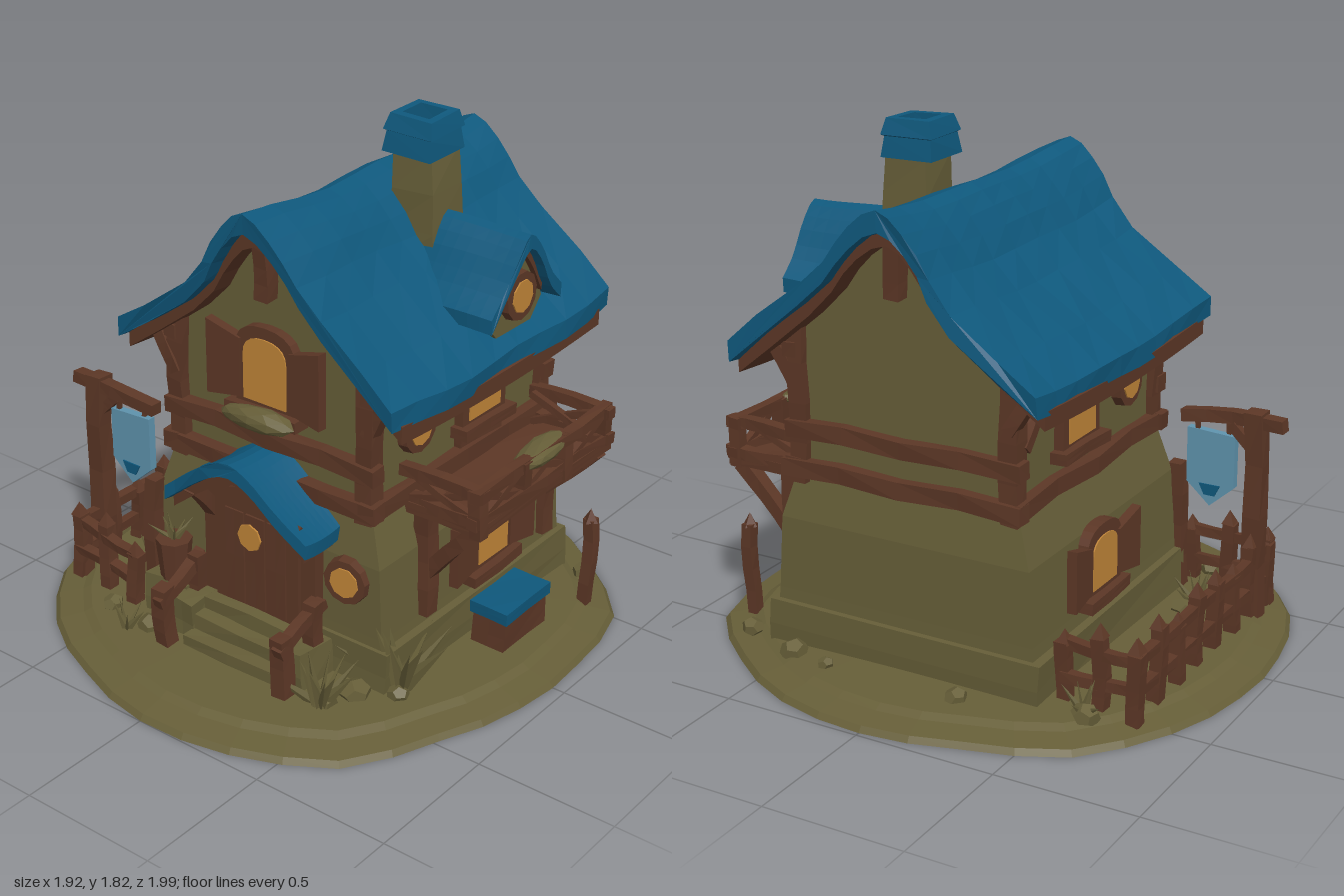
import * as THREE from 'three';

const colour = (name, hex) => { const m = new THREE.MeshStandardMaterial({ color: hex }); m.name = name; return m; };
const STONE = colour('olive plaster and stone', 0x665e38);
const WOOD = colour('brown timber', 0x5c3726);
const ROOF = colour('blue roof', 0x0f587c);
const GLOW = colour('amber window', 0xc08538);
const SIGN = colour('pale blue sign', 0x5f93ad);
const CX = 0.065; // centre line of the house

// Faceted copy of a geometry, gently bent out of true
function facet(geo, amp = 0, seed = 0) {
  const p = geo.attributes.position;
  for (let i = 0; i < p.count; i++) {
    const x = p.getX(i), y = p.getY(i), z = p.getZ(i);
    p.setXYZ(i, x + amp * Math.sin(13 * y + 9 * z + seed), y + amp * Math.sin(11 * x + 10 * z + seed * 2), z + amp * Math.sin(12 * x + 14 * y + seed * 3));
  }
  const g = geo.index ? geo.toNonIndexed() : geo;
  g.computeVertexNormals();
  return g;
}
let count = 0;
function add(parent, name, geo, mat, pos = [0, 0, 0], rot = [0, 0, 0], amp = 0) {
  const m = new THREE.Mesh(facet(geo, amp, ++count), mat);
  m.name = name;
  m.position.set(...pos);
  m.rotation.set(...rot);
  parent.add(m);
  return m;
}
const block = (parent, name, mat, [x0, x1], [y0, y1], [z0, z1], amp = 0.004) =>
  add(parent, name, new THREE.BoxGeometry(x1 - x0, y1 - y0, z1 - z0, 2, 2, 2), mat, [(x0 + x1) / 2, (y0 + y1) / 2, (z0 + z1) / 2], [0, 0, 0], amp);

// Rough timber between two points
function beam(parent, name, a, b, w = 0.05, mat = WOOD) {
  const A = new THREE.Vector3(...a), B = new THREE.Vector3(...b), d = B.clone().sub(A);
  const m = add(parent, name, new THREE.BoxGeometry(w, d.length(), w, 1, 4, 1), mat, [0, 0, 0], [0, 0, 0], 0.006);
  m.position.copy(A).add(B).multiplyScalar(0.5);
  m.quaternion.setFromUnitVectors(new THREE.Vector3(0, 1, 0), d.normalize());
  return m;
}
const polygon = pts => new THREE.Shape(pts.map(p => new THREE.Vector2(...p)));
const extrude = (shape, depth, steps = 1) => new THREE.ExtrudeGeometry(shape, { depth, steps, bevelEnabled: false, curveSegments: 5 });

// Sheet following a curved roof profile, between two drops below it
function roofSheet(profile, top, bottom, z0, z1, sag = 0) {
  const pts = new THREE.SplineCurve(profile.map(p => new THREE.Vector2(...p))).getPoints(14);
  const outline = [...pts.map(p => [p.x, p.y - top]), ...pts.reverse().map(p => [p.x, p.y - bottom])];
  const g = extrude(polygon(outline), z1 - z0, 9);
  g.translate(0, 0, z0);
  const p = g.attributes.position, mid = (z0 + z1) / 2, half = (z1 - z0) / 2;
  for (let i = 0; i < p.count; i++) p.setY(i, p.getY(i) - sag * (1 - ((p.getZ(i) - mid) / half) ** 2));
  return g;
}
function arch(w, h) {
  const s = new THREE.Shape();
  s.moveTo(-w / 2, 0); s.lineTo(w / 2, 0); s.lineTo(w / 2, h * 0.7);
  s.quadraticCurveTo(w / 2, h, 0, h);
  s.quadraticCurveTo(-w / 2, h, -w / 2, h * 0.7);
  return s;
}
function place(parent, name, pos, ry = 0) {
  const g = new THREE.Group();
  g.name = name; g.position.set(...pos); g.rotation.y = ry;
  parent.add(g);
  return g;
}
function archWindow(parent, name, pos, ry, w, h, shutters) {
  const g = place(parent, name, pos, ry);
  add(g, 'windowFrame', extrude(arch(w + 0.07, h + 0.07), 0.05), WOOD, [0, -0.03, -0.02]);
  add(g, 'windowPane', extrude(arch(w, h), 0.006), GLOW, [0, 0, 0.029]);
  block(g, 'windowSill', WOOD, [-w / 2 - 0.06, w / 2 + 0.06], [-0.055, -0.015], [-0.01, 0.06]);
  if (shutters) for (const s of [-1, 1]) {
    const a = s * (w / 2 + 0.015), b = s * (w / 2 + 0.15);
    add(g, 'shutter', extrude(polygon([[a, 0], [b, -0.02], [b, h + 0.02], [a, h - 0.02]]), 0.035), WOOD, [0, 0, -0.005], [0, -s * 0.08, 0]);
  }
  return g;
}
function roundWindow(parent, name, pos, ry, r) {
  const g = place(parent, name, pos, ry);
  add(g, 'windowRing', new THREE.CylinderGeometry(r, r * 1.08, 0.06, 11), WOOD, [0, 0, 0], [Math.PI / 2, 0, 0]);
  add(g, 'windowPane', new THREE.CylinderGeometry(r * 0.68, r * 0.68, 0.006, 9), GLOW, [0, 0, 0.032], [Math.PI / 2, 0, 0]);
}
const shrub = (parent, name, pos, [rx, ry, rz]) =>
  add(parent, name, new THREE.IcosahedronGeometry(1, 1).scale(rx, ry, rz), STONE, pos, [0, 0, 0], 0.012);

// Fan of pointed leaves
function plant(parent, name, pos, size, n) {
  const g = place(parent, name, pos);
  for (let i = 0; i < n; i++) {
    const leaf = new THREE.ConeGeometry(size * 0.14, size, 4).translate(0, size / 2, 0).scale(1, 1, 0.4);
    add(g, 'leaf', leaf, STONE, [0, 0, 0], [0, i * 2.4, 0.25 + 0.9 * ((i * 0.37) % 1)]).rotation.order = 'YXZ';
  }
}

// Island of ground
function buildGround(root) {
  const R = [1, 1.02, 1.04, 0.96, 0.95, 0.96, 1.02, 0.985, 0.99, 0.985, 0.975, 1.03, 1, 0.97, 0.965, 0.99, 0.985, 0.97];
  const profile = [[0, 0], [1, 0], [0.985, 0.02], [0.9, 0.035], [0.87, 0.05], [0.6, 0.06], [0, 0.06]];
  const g = new THREE.LatheGeometry(profile.map(p => new THREE.Vector2(...p)), 36), p = g.attributes.position;
  for (let i = 0; i < p.count; i++) {
    const k = ((Math.atan2(p.getX(i), p.getZ(i)) / (2 * Math.PI) + 1) % 1) * 18, j = Math.floor(k);
    const r = THREE.MathUtils.lerp(R[j % 18], R[(j + 1) % 18], k - j);
    p.setX(i, p.getX(i) * r); p.setZ(i, p.getZ(i) * r);
  }
  add(root, 'ground', g, STONE);
  [[0.5, 0.5, 0.06], [0.62, 0.42, 0.04], [-0.5, 0.6, 0.04], [-0.3, 0.62, 0.05], [0.45, -0.7, 0.05], [0.3, -0.73, 0.03], [-0.62, -0.62, 0.05],
    [-0.55, 0.25, 0.05], [-0.2, -0.72, 0.04], [0.68, -0.62, 0.04], [0.45, 0.6, 0.05]].forEach(([x, z, r]) =>
    add(root, 'rock', new THREE.DodecahedronGeometry(r).scale(1, 0.8, 1), STONE, [x, 0.06, z], [0, x * 9, 0.2]));
}

const MAIN = [[-0.5, 1.13], [-0.165, 1.38], [-0.045, 1.55], [0.06, 1.635], [0.19, 1.56], [0.32, 1.4], [0.645, 1.13]];

function buildWalls(root) {
  // Lower storey leans inwards as it rises
  const levels = [[0.02, 0.51, 0.535], [0.24, 0.49, 0.525], [0.5, 0.475, 0.52], [0.68, 0.42, 0.49]];
  const lower = new THREE.BoxGeometry(2, 3, 2, 3, 3, 3), p = lower.attributes.position;
  for (let i = 0; i < p.count; i++) {
    const [y, w, d] = levels[Math.round(p.getY(i) + 1.5)];
    p.setXYZ(i, CX + p.getX(i) * w, y, -0.095 + p.getZ(i) * d);
  }
  add(root, 'lowerWall', lower, STONE);
  block(root, 'stoneFooting', STONE, [-0.46, 0.585], [0.02, 0.2], [-0.64, 0.45], 0.006);

  const gable = [[-0.34, 0.64], [0.47, 0.64], [0.47, 1.19], ...MAIN.slice(1, -1).reverse().map(([x, y]) => [x, y - 0.08]), [-0.34, 1.17]];
  add(root, 'upperWall', extrude(polygon(gable), 0.97), STONE, [0, 0, -0.59]);

  // Timber frame
  for (const x of [-0.335, 0.465]) for (const z of [-0.585, 0.385]) beam(root, 'cornerPost', [x, 0.64, z], [x, 1.2, z], 0.065);
  for (const z of [-0.6, 0.4]) {
    beam(root, 'crossBeam', [-0.39, 0.69, z], [0.52, 0.69, z], 0.06);
    beam(root, 'crossBeam', [-0.38, 0.83, z], [0.51, 0.83, z], 0.06);
    beam(root, 'gablePost', [CX, 1.33, z + 0.02 * Math.sign(z)], [CX, 1.56, z + 0.02 * Math.sign(z)], 0.055);
    for (const s of [-1, 1]) beam(root, 'eaveBrace', [CX + s * 0.4, 0.95, z], [CX + s * 0.5, 1.14, z], 0.045);
  }
  for (const x of [-0.35, 0.48]) {
    beam(root, 'sideBeam', [x, 0.69, -0.62], [x, 0.69, 0.43], 0.06);
    beam(root, 'wallPlate', [x, 1.1, -0.62], [x, 1.1, 0.43], 0.05);
    beam(root, 'sideBrace', [x, 0.88, -0.56], [x, 1.06, -0.38], 0.04);
  }
}

function buildRoof(root) {
  add(root, 'mainRoof', roofSheet(MAIN, 0, 0.07, -0.73, 0.51, 0.025), ROOF, [0, 0, 0], [0, 0, 0], 0.007);
  add(root, 'roofBoards', roofSheet(MAIN, 0.06, 0.12, -0.68, 0.46, 0.02), WOOD);

  // Chimney with hollow four-sided cap
  const flue = new THREE.CylinderGeometry(0.105, 0.14, 0.4, 4, 3).rotateY(Math.PI / 4);
  add(root, 'chimney', flue, STONE, [0.24, 1.5, -0.21], [0, 0, 0.04], 0.005);
  const cap = [[0.07, 1.69], [0.135, 1.69], [0.122, 1.76], [0.135, 1.765], [0.115, 1.82], [0.075, 1.82], [0.07, 1.75], [0, 1.75]];
  add(root, 'chimneyCap', new THREE.LatheGeometry(cap.map(c => new THREE.Vector2(...c)), 4, Math.PI / 4), ROOF, [0.228, 0, -0.205], [0, 0, 0], 0.004);

  // Dormer facing the left side
  const d = place(root, 'dormer', [0, 0, -0.21], Math.PI / 2);
  const curve = [[-0.2, 1.26], [-0.13, 1.33], [-0.065, 1.44], [0, 1.5], [0.065, 1.44], [0.13, 1.33], [0.2, 1.26]];
  add(d, 'dormerRoof', roofSheet(curve, 0, 0.05, 0.22, 0.65), ROOF, [0, 0, 0], [0, 0, 0], 0.005);
  add(d, 'dormerBoards', roofSheet(curve.slice(1, -1), 0.04, 0.08, 0.3, 0.62), WOOD);
  add(d, 'dormerWall', extrude(polygon([[-0.1, 1.15], [0.1, 1.15], [0.16, 1.22], [0.13, 1.29], [0, 1.44], [-0.13, 1.29], [-0.16, 1.22]]), 0.3), STONE, [0, 0, 0.3]);
  roundWindow(d, 'dormerWindow', [0, 1.275, 0.6], 0, 0.085);
}

function buildEntrance(root) {
  const d = place(root, 'entrance', [0.07, 0, 0]);
  add(d, 'doorFrame', extrude(arch(0.48, 0.52), 0.09), WOOD, [0, 0.19, 0.38]);
  add(d, 'doorPanel', extrude(arch(0.36, 0.46), 0.02), WOOD, [0, 0.2, 0.465]);
  for (const x of [-0.09, 0, 0.09]) block(d, 'doorPlank', WOOD, [x - 0.04, x + 0.04], [0.21, 0.56], [0.48, 0.492], 0.001);
  add(d, 'doorWindow', new THREE.CylinderGeometry(0.05, 0.05, 0.008, 8), GLOW, [-0.02, 0.48, 0.495], [Math.PI / 2, 0, 0]);
  [0.2, 0.15, 0.1].forEach((y, i) => block(d, 'step', STONE, [-0.2, 0.2], [0.02, y], [0.4, 0.53 + i * 0.055], 0.004));
  for (const s of [-1, 1]) {
    block(d, 'stepCheek', STONE, [s * 0.24 - 0.05, s * 0.24 + 0.05], [0.02, 0.19], [0.4, 0.6], 0.008);
    beam(d, 'railPost', [s * 0.255, 0.06, 0.66], [s * 0.26, 0.28, 0.67], 0.055);
    beam(d, 'railPost', [s * 0.26, 0.1, 0.5], [s * 0.26, 0.34, 0.5], 0.05);
    beam(d, 'handRail', [s * 0.26, 0.32, 0.46], [s * 0.26, 0.23, 0.7], 0.04);
    beam(d, 'porchBracket', [s * 0.22, 0.5, 0.45], [s * 0.22, 0.63, 0.56], 0.045);
  }
  const porch = [[-0.24, 0.625], [-0.085, 0.735], [0.04, 0.795], [0.14, 0.765], [0.24, 0.69], [0.365, 0.61]];
  add(root, 'porchRoof', roofSheet(porch, 0, 0.05, 0.37, 0.595, 0.01), ROOF, [0, 0, 0], [0, 0, 0], 0.005);
  add(root, 'porchBoards', roofSheet(porch.map(([x, y]) => [CX + (x - CX) * 0.93, y]), 0.04, 0.085, 0.37, 0.57), WOOD);
  // Potted plant beside the door
  block(root, 'potStone', STONE, [-0.39, -0.2], [0.02, 0.2], [0.4, 0.54], 0.008);
  add(root, 'pot', new THREE.CylinderGeometry(0.065, 0.05, 0.15, 8), WOOD, [-0.3, 0.275, 0.49]);
  plant(root, 'potPlant', [-0.3, 0.34, 0.49], 0.11, 9);
}

function buildWindows(root) {
  const front = archWindow(root, 'frontWindow', [0.06, 0.95, 0.385], 0, 0.18, 0.23, true);
  shrub(front, 'windowBoxPlant', [0, -0.035, 0.08], [0.16, 0.045, 0.05]);
  roundWindow(root, 'frontRoundWindow', [0.42, 0.43, 0.43], 0.1, 0.08);
  for (const s of [-1, 1]) {
    const ry = s * Math.PI / 2;
    archWindow(root, 'lowerSideWindow', [CX + s * 0.485, 0.3, -0.17], ry, 0.17, 0.18, true);
    archWindow(root, 'upperSideWindow', [CX + s * 0.41, 0.82, -0.2], ry, 0.18, 0.2, false);
    roundWindow(root, 'sideRoundWindow', [CX + s * 0.41, 0.9, 0.16], ry, 0.085);
  }
  block(root, 'balconyDoor', WOOD, [0.46, 0.5], [0.66, 0.82], [-0.32, -0.08]);
}

function buildBalcony(root) {
  const b = place(root, 'balcony', [0, 0, 0]);
  block(b, 'balconyFloor', WOOD, [0.46, 0.79], [0.62, 0.66], [-0.56, 0.23]);
  const zs = [-0.54, -0.29, -0.04, 0.21];
  for (const y of [0.67, 0.77]) {
    beam(b, 'outerRail', [0.77, y, -0.57], [0.77, y, 0.24], 0.04);
    for (const z of [-0.54, 0.21]) beam(b, 'endRail', [0.47, y, z], [0.8, y, z], 0.04);
  }
  zs.forEach((z, i) => {
    beam(b, 'railingPost', [0.77, 0.62, z], [0.77, 0.79, z], 0.045);
    if (i < 3) for (const [p, q] of [[0.67, 0.77], [0.77, 0.67]]) beam(b, 'railingCross', [0.77, p, z], [0.77, q, zs[i + 1]], 0.025);
  });
  for (const z of [-0.52, 0.19]) {
    for (const [p, q] of [[0.67, 0.77], [0.77, 0.67]]) beam(b, 'endCross', [0.5, p, z + 0.02], [0.77, q, z + 0.02], 0.025);
    beam(b, 'wallPost', [0.555, 0.24, z], [0.555, 0.64, z], 0.06);
    beam(b, 'balconyBracket', [0.56, 0.4, z], [0.76, 0.62, z], 0.05);
  }
  shrub(b, 'balconyPlant', [0.765, 0.775, -0.15], [0.055, 0.035, 0.15]);
}

function buildYard(root) {
  // Picket fence around the right side
  const run = (a, c, n) => {
    for (const y of [0.14, 0.25]) beam(root, 'fenceRail', [a[0], y, a[1]], [c[0], y, c[1]], 0.035);
    for (let i = 0; i <= n; i++) {
      const x = THREE.MathUtils.lerp(a[0], c[0], i / n), z = THREE.MathUtils.lerp(a[1], c[1], i / n), h = 0.28 + 0.03 * Math.sin(i * 2.3);
      beam(root, 'fencePost', [x, 0.03, z], [x, h, z], 0.045);
      add(root, 'fencePoint', new THREE.ConeGeometry(0.032, 0.05, 4).rotateY(Math.PI / 4), WOOD, [x, h + 0.024, z]);
    }
  };
  run([-0.76, -0.54], [-0.76, 0.48], 7);
  run([-0.76, 0.49], [-0.45, 0.53], 2);
  run([-0.76, -0.55], [-0.5, -0.54], 2);
  beam(root, 'gatePost', [-0.44, 0.05, 0.45], [-0.42, 0.53, 0.45], 0.05);

  // Hanging sign
  beam(root, 'signPost', [-0.76, 0.03, 0.37], [-0.755, 0.79, 0.37], 0.065);
  beam(root, 'signArm', [-0.86, 0.765, 0.37], [-0.48, 0.745, 0.37], 0.045);
  beam(root, 'signBrace', [-0.75, 0.64, 0.37], [-0.66, 0.74, 0.37], 0.035);
  for (const x of [-0.65, -0.54]) beam(root, 'signHanger', [x, 0.69, 0.37], [x, 0.75, 0.37], 0.015);
  add(root, 'signBoard', extrude(polygon([[-0.68, 0.69], [-0.5, 0.7], [-0.5, 0.5], [-0.59, 0.42], [-0.68, 0.5]]), 0.03), SIGN, [0, 0, 0.355]);
  for (const z of [0.35, 0.385]) add(root, 'signPatch', extrude(polygon([[-0.63, 0.5], [-0.55, 0.5], [-0.57, 0.46], [-0.61, 0.46]]), 0.005), ROOF, [0, 0, z]);

  // Chest and post below the balcony
  block(root, 'chest', WOOD, [0.62, 0.75], [0.04, 0.17], [-0.26, 0]);
  block(root, 'chestLid', ROOF, [0.61, 0.765], [0.17, 0.215], [-0.27, 0.01]);
  beam(root, 'yardPost', [0.78, 0.03, -0.48], [0.78, 0.37, -0.48], 0.04);
  add(root, 'yardPostTip', new THREE.ConeGeometry(0.03, 0.05, 4), WOOD, [0.78, 0.39, -0.48]);

  plant(root, 'spikyBush', [0.45, 0.05, 0.62], 0.2, 12);
  plant(root, 'spikyBush', [0.6, 0.06, 0.38], 0.26, 12);
  plant(root, 'spikyBush', [-0.58, 0.05, 0.3], 0.14, 8);
  plant(root, 'spikyBush', [-0.36, 0.05, 0.68], 0.12, 6);
  plant(root, 'spikyBush', [-0.6, 0.05, -0.6], 0.12, 6);
}

export function createModel() {
  const root = new THREE.Group();
  root.name = 'cottage';
  count = 0;
  [buildGround, buildWalls, buildRoof, buildEntrance, buildWindows, buildBalcony, buildYard].forEach(build => build(root));
  return root;
}
